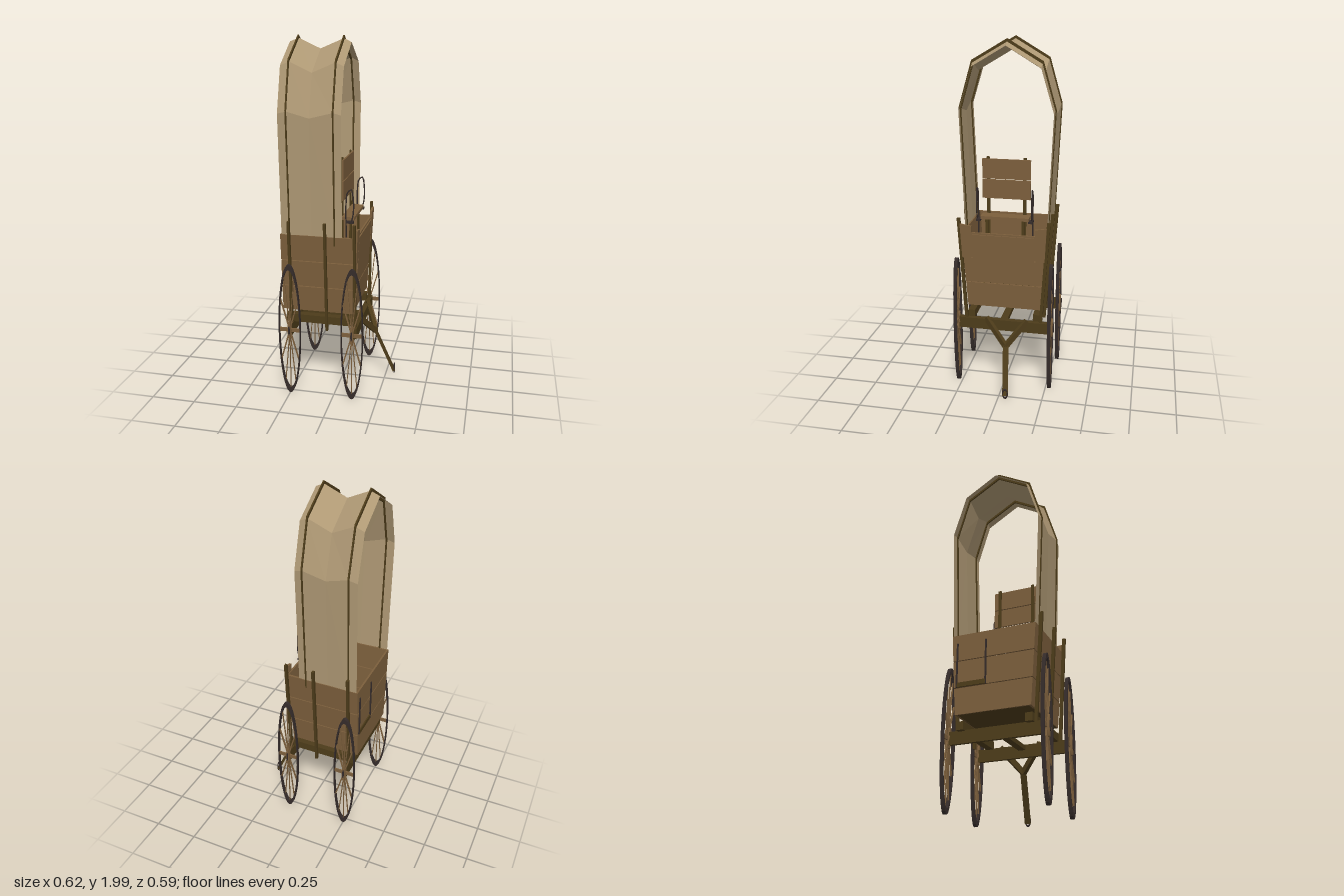
import * as THREE from 'three';
import { mergeGeometries } from 'three/addons/utils/BufferGeometryUtils.js';

const mat = (name, color) => {
  const m = new THREE.MeshStandardMaterial({ color });
  m.name = name;
  return m;
};

export function createModel() {
  const root = new THREE.Group();
  root.name = 'coveredWagon';
  const wood = mat('plankWood', 0x7c5f3c);
  const timber = mat('darkTimber', 0x4d3c1a);
  const iron = mat('iron', 0x352c2a);
  const cloth = mat('canvas', 0xae9874);
  cloth.side = THREE.DoubleSide;
  cloth.flatShading = true;

  const add = (name, geo, material, parent = root) => {
    const m = new THREE.Mesh(geo, material);
    m.name = name;
    parent.add(m);
    return m;
  };
  const box = (name, material, x0, x1, y0, y1, z0, z1) => {
    const g = new THREE.BoxGeometry(x1 - x0, y1 - y0, z1 - z0);
    g.translate((x0 + x1) / 2, (y0 + y1) / 2, (z0 + z1) / 2);
    return add(name, g, material);
  };
  // Outline given in (z, y), extruded along x; the front end leans forward
  const slab = (name, material, pts, x0, x1, lean = true) => {
    const shape = new THREE.Shape(pts.map(([z, y]) => new THREE.Vector2(z, y)));
    const g = new THREE.ExtrudeGeometry(shape, { depth: x1 - x0, bevelEnabled: false });
    g.rotateY(-Math.PI / 2).translate(x1, 0, 0);
    const p = g.attributes.position;
    if (lean) for (let i = 0; i < p.count; i++) {
      if (p.getX(i) > 0.05) p.setX(i, p.getX(i) + 0.05 * (p.getY(i) - 0.5));
    }
    g.computeVertexNormals();
    return add(name, g, material);
  };
  // Rectangular bar between two points
  const bar = (name, material, a, b, w, h) => {
    const A = new THREE.Vector3(...a), B = new THREE.Vector3(...b);
    const m = add(name, new THREE.BoxGeometry(w, h, A.distanceTo(B)), material);
    m.position.copy(A).add(B).multiplyScalar(0.5);
    m.lookAt(B);
    return m;
  };

  // Wagon box: three planks per wall, flaring outwards
  const wall = (y) => 0.21 + (y - 0.5) * 0.065;
  const rows = [[0.5, 0.645], [0.65, 0.797], [0.802, 0.95]];
  for (const [a, b] of rows) {
    for (const s of [1, -1]) {
      slab('sidePlank', wood, [[s * wall(a), a], [s * wall(b), b],
        [s * (wall(b) - 0.013), b], [s * (wall(a) - 0.013), a]], -0.297, 0.1);
    }
    const end = [[-wall(a), a], [wall(a), a], [wall(b), b], [-wall(b), b]];
    slab('frontPlank', wood, end, 0.09, 0.1);
    slab('tailPlank', wood, end, -0.302, -0.292, false);
  }
  slab('frontPanel', wood, [[-0.175, 0.735], [0.175, 0.735], [0.175, 0.94], [-0.175, 0.94]], 0.1, 0.107);
  for (const s of [1, -1]) {
    slab('frontCorner', wood, [[s * 0.185, 0.8], [s * 0.235, 0.8], [s * 0.245, 1.0], [s * 0.18, 0.99]], 0.095, 0.108);
  }
  box('floor', timber, -0.297, 0.1, 0.5, 0.512, -0.205, 0.205);

  // Stakes and undercarriage rails
  for (const s of [1, -1]) {
    for (const x of [-0.25, -0.048, 0.115]) {
      slab('stake', timber, [[s * 0.205, 0.39], [s * 0.222, 0.39], [s * 0.264, 1.03], [s * 0.245, 1.03]],
        x - 0.007, x + 0.007, false);
    }
    box('rail', timber, -0.283, 0.105, 0.425, 0.47, s * 0.19 - 0.02, s * 0.19 + 0.02);
  }
  box('centreRail', timber, -0.25, 0.11, 0.4, 0.425, -0.02, 0.02);

  // Wheels: tall ellipses, geometry scaled from a unit wheel
  const ring = new THREE.Shape().absarc(0, 0, 1, 0, Math.PI * 2);
  ring.holes.push(new THREE.Path().absarc(0, 0, 0.92, 0, Math.PI * 2, true));
  const fit = (g) => g.scale(0.063, 0.39, 1);
  const rimGeo = fit(new THREE.ExtrudeGeometry(ring, { depth: 0.02, bevelEnabled: false, curveSegments: 24 }).translate(0, 0, -0.01));
  const spokes = [];
  for (let i = 0; i < 12; i++) {
    spokes.push(new THREE.BoxGeometry(0.84, 0.055, 0.008).translate(0.52, 0, 0).rotateZ(i * Math.PI / 6));
  }
  const spokeGeo = fit(mergeGeometries(spokes));
  const hubGeo = fit(new THREE.CylinderGeometry(0.15, 0.15, 0.03, 12).rotateX(Math.PI / 2));
  const capGeo = fit(new THREE.CylinderGeometry(0.075, 0.075, 0.042, 10).rotateX(Math.PI / 2));
  for (const x of [-0.248, 0.108]) {
    box('axle', timber, x - 0.009, x + 0.009, 0.36, 0.43, -0.262, 0.262);
    for (const s of [1, -1]) {
      const wheel = new THREE.Group();
      wheel.name = 'wheel';
      wheel.position.set(x, 0.4, s * 0.272);
      add('rim', rimGeo, iron, wheel);
      add('spokes', spokeGeo, wood, wheel);
      add('hub', hubGeo, wood, wheel);
      add('hubCap', capGeo, iron, wheel);
      root.add(wheel);
    }
  }

  // Forked tongue with an end ring
  box('tongueBeam', timber, 0.113, 0.129, 0.37, 0.43, -0.25, 0.25);
  const fork = [0.19, 0.3, -0.028];
  bar('tongueFork', timber, [0.118, 0.435, 0.1], fork, 0.022, 0.03);
  bar('tongueFork', timber, [0.118, 0.435, -0.138], fork, 0.022, 0.03);
  bar('tonguePole', timber, [0.18, 0.325, -0.027], [0.3, 0.045, -0.047], 0.032, 0.014);
  const loop = add('tongueRing', new THREE.TorusGeometry(0.014, 0.0035, 6, 14), iron);
  loop.scale.y = 1.9;
  loop.rotation.y = Math.PI / 2;
  loop.position.set(0.303, 0.06, -0.047);

  // Canvas cover: arched sections, sagging between the hoops
  const sections = [[-0.295, 1.965, 0.99], [-0.245, 1.985, 1], [-0.125, 1.93, 0.985], [0.003, 1.985, 1], [0.045, 1.965, 0.99]];
  const arch = [[0.236, 0.93, 0], [0.264, 1.625, 0.6], [0.191, 1.873, 1], [0, 1.985, 1]];
  const profile = [...arch, ...arch.slice(0, 3).reverse().map(([z, y, k]) => [-z, y, k])];
  const verts = [], index = [], n = profile.length;
  sections.forEach(([x, top, w], i) => {
    for (const [z, y, k] of profile) verts.push(x, y + (top - 1.985) * k, z * w);
    if (i) for (let j = 0; j < n - 1; j++) {
      const a = (i - 1) * n + j, b = i * n + j;
      index.push(a, b, a + 1, b, b + 1, a + 1);
    }
  });
  const cover = new THREE.BufferGeometry();
  cover.setAttribute('position', new THREE.Float32BufferAttribute(verts, 3));
  cover.setIndex(index);
  cover.computeVertexNormals();
  add('cover', cover, cloth);

  // Hoops holding the cover
  const outer = [[0.238, 0.9], [0.27, 1.63], [0.196, 1.885], [0, 2], [-0.196, 1.885], [-0.27, 1.63], [-0.238, 0.9]];
  const inner = [[-0.228, 0.9], [-0.257, 1.615], [-0.186, 1.86], [0, 1.968], [0.186, 1.86], [0.257, 1.615], [0.228, 0.9]];
  for (const x of [-0.248, 0.003]) slab('hoop', timber, [...outer, ...inner], x - 0.004, x + 0.004, false);

  // Driver's seat
  box('seatBoard', wood, 0.02, 0.09, 1.022, 1.04, -0.138, 0.135);
  box('backPlank', wood, 0.022, 0.031, 1.13, 1.238, -0.138, 0.135);
  box('backPlank', wood, 0.022, 0.031, 1.243, 1.355, -0.138, 0.135);
  for (const s of [1, -1]) {
    box('backPost', timber, 0.014, 0.022, 0.51, 1.365, s * 0.103 - 0.009, s * 0.103 + 0.009);
    box('seatLeg', timber, 0.06, 0.07, 0.51, 1.022, s * 0.103 - 0.009, s * 0.103 + 0.009);
    const pts = [[0.05, 0.93], [0.05, 1.14], [0.058, 1.185], [0.078, 1.2], [0.089, 1.15], [0.088, 1.06], [0.075, 1.02], [0.05, 1.015]]
      .map(([x, y]) => new THREE.Vector3(x, y, s * 0.155));
    add('armrest', new THREE.TubeGeometry(new THREE.CatmullRomCurve3(pts), 28, 0.004, 6), iron);
    box('seatBracket', iron, 0.048, 0.09, 1.01, 1.022, s * 0.148 - 0.012, s * 0.148 + 0.012);
  }

  // Rear step frame on the tailboard
  for (const z of [-0.205, -0.04]) box('stepStrap', iron, -0.309, -0.302, 0.65, 0.9, z - 0.004, z + 0.004);
  box('step', timber, -0.309, -0.302, 0.65, 0.675, -0.205, -0.04);
  return root;
}
